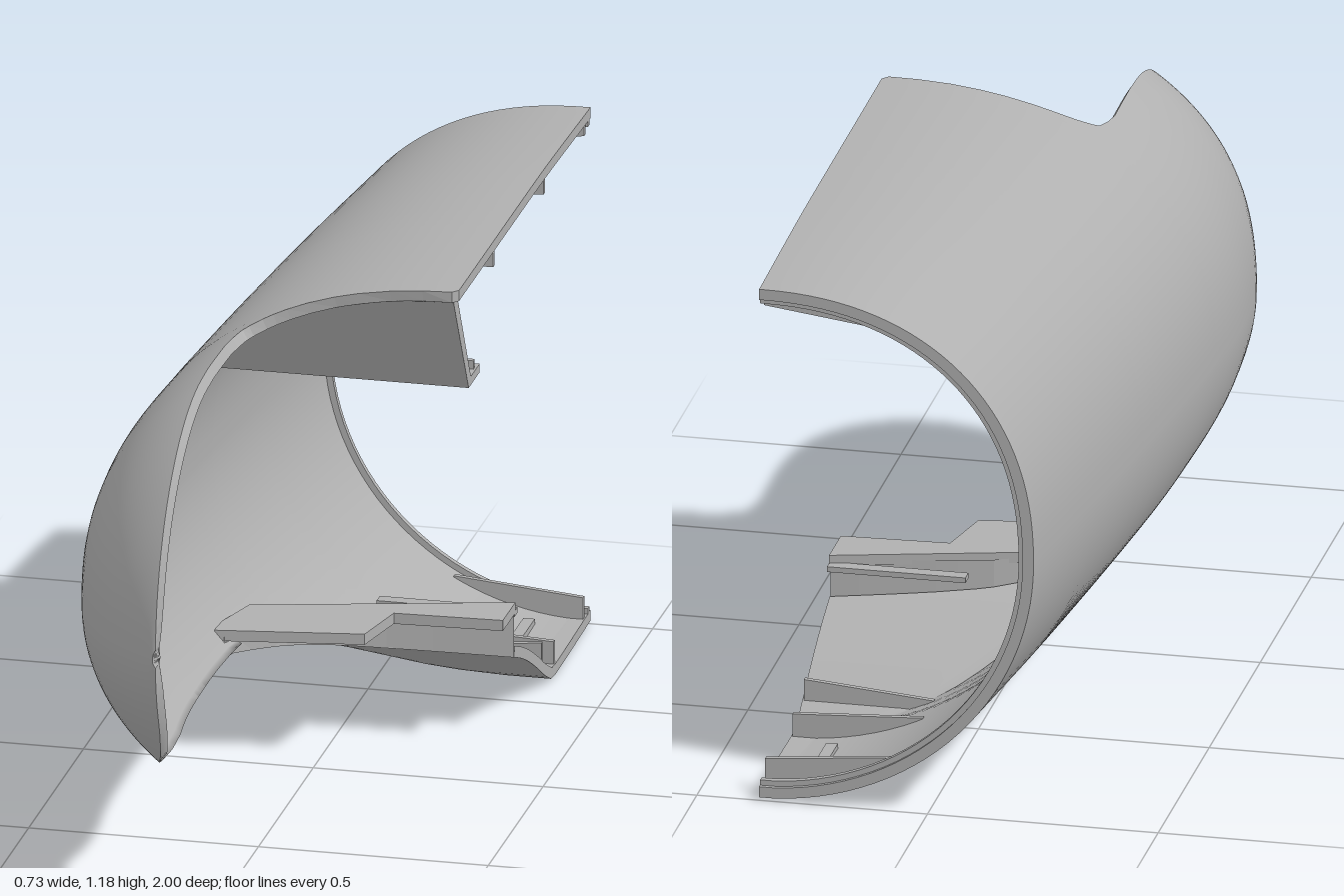
import * as THREE from 'three';

const CX = 0.365, YC = 0.595, NT = 2.25, NB = 2; // open mid plane, axis height, section exponents
const WALL = 0.024;

// Monotone smooth interpolation through [z, value] pairs
function curve(pts) {
  const d = pts.slice(1).map((p, i) => (p[1] - pts[i][1]) / (p[0] - pts[i][0]));
  const m = pts.map((p, i) => {
    if (i === 0) return d[0];
    if (i === pts.length - 1) return d[i - 1];
    return d[i - 1] * d[i] > 0 ? 2 * d[i - 1] * d[i] / (d[i - 1] + d[i]) : 0;
  });
  return (z) => {
    if (z <= pts[0][0]) return pts[0][1];
    if (z >= pts[pts.length - 1][0]) return pts[pts.length - 1][1];
    let i = 0;
    while (z > pts[i + 1][0]) i++;
    const h = pts[i + 1][0] - pts[i][0], t = (z - pts[i][0]) / h, u = 1 - t;
    return pts[i][1] * (1 + 2 * t) * u * u + m[i] * h * t * u * u
      + pts[i + 1][1] * t * t * (3 - 2 * t) - m[i + 1] * h * t * t * u;
  };
}

const sideX = curve([[-1, -0.23], [-0.4, -0.302], [0, -0.342], [0.2, -0.358], [0.42, -0.368], [0.6, -0.357],
  [0.7, -0.337], [0.8, -0.3], [0.9, -0.235], [0.96, -0.17], [1, -0.111]]);
const topHalf = curve([[-1, 0.576], [-0.5, 0.588], [0.2, 0.59], [0.3, 0.592], [0.55, 0.601]]);
const lowHalf = curve([[-1, 0.582], [-0.6, 0.591], [0, 0.588], [0.55, 0.54]]);
const floorY = curve([[-1, 0.014], [-0.66, 0.007], [-0.6, 0.03], [-0.5, 0.088], [-0.4, 0.14], [-0.3, 0.18],
  [-0.2, 0.21], [-0.1, 0.228], [0, 0.235], [0.55, 0.235]]);
const topEdge = curve([[0.214, CX], [0.22, 0.22], [0.227, 0.1], [0.24, 0], [0.255, -0.05], [0.285, -0.09], [0.35, -0.105]]);
const lowEdge = curve([[-0.3, CX], [-0.28, 0.25], [-0.25, 0.1], [-0.22, 0], [-0.15, -0.1], [-0.1, -0.14], [0.02, -0.25]]);
const noseLowEdge = curve([[0.55, -0.18], [0.72, -0.162], [0.85, -0.13], [0.95, -0.109], [1, -0.105]]);

// Section parameters of the hull at z
function hull(z) {
  const a = CX - sideX(z);
  if (z <= 0.55) return { a, bT: topHalf(z), bB: lowHalf(z), s: floorY(z), eT: topEdge(z), eB: lowEdge(z) };
  const k = Math.sqrt(1 - ((z - 0.55) / 0.45) ** 2), eB = noseLowEdge(z);
  const half = (h, e, n) => h / (1 - ((CX - e) / a) ** n) ** (1 / n);
  return { a, bT: half(0.485 * k, -0.105, NT), bB: half(0.36 * k, eB, NB), s: YC - 0.36 * k, eT: -0.105, eB };
}

// Points of one section from upper edge, round the side, to lower edge
function section(z, inset = 0) {
  const q = hull(z), a = q.a - inset, bT = q.bT - inset, bB = q.bB - inset, s = q.s + inset, pts = [];
  const start = Math.acos(Math.min(1, Math.max(0, (CX - q.eT) / a) ** (NT / 2)));
  for (let j = 0; j <= 32; j++) {
    const t = start * (1 - j / 32);
    pts.push(new THREE.Vector3(CX - a * Math.max(0, Math.cos(t)) ** (2 / NT), YC + bT * Math.sin(t) ** (2 / NT), z));
  }
  const end = Math.asin(Math.min(1, (YC - s) / bB));
  for (let j = 1; j <= 28; j++) {
    const t = end * j / 28;
    pts.push(new THREE.Vector3(CX - a * Math.cos(t), YC - bB * Math.sin(t), z));
  }
  const last = pts[pts.length - 1], e = Math.max(q.eB, last.x);
  for (let j = 1; j <= 8; j++) pts.push(new THREE.Vector3(last.x + (e - last.x) * j / 8, last.y, z));
  return pts;
}

// Surface through rows of points
function sheet(rows, flat = false, flip = false) {
  const w = rows[0].length, idx = [];
  for (let i = 0; i < rows.length - 1; i++) for (let j = 0; j < w - 1; j++) {
    const a = i * w + j, b = a + 1, c = a + w, d = c + 1;
    if (flip) idx.push(a, c, b, b, c, d); else idx.push(a, b, c, b, d, c);
  }
  let g = new THREE.BufferGeometry().setFromPoints(rows.flat());
  g.setIndex(idx);
  if (flat) g = g.toNonIndexed();
  g.computeVertexNormals();
  return g;
}

const insideX = (y, z, inset) => {
  const q = hull(z), up = y > YC, n = up ? NT : NB, b = (up ? q.bT : q.bB) - inset;
  return CX - (q.a - inset) * Math.max(0, 1 - (Math.abs(y - YC) / b) ** n) ** (1 / n);
};
const insideTop = (x, z, inset) => {
  const q = hull(z);
  return YC + (q.bT - inset) * (1 - ((CX - x) / (q.a - inset)) ** NT) ** (1 / NT);
};
const insideLow = (x, z, inset) => {
  const q = hull(z), b = q.bB - inset;
  return Math.max(q.s + inset, YC - b * Math.sqrt(1 - ((CX - x) / (q.a - inset)) ** 2));
};

export function createModel() {
  const model = new THREE.Group();
  const grey = new THREE.MeshStandardMaterial({ color: 0xb0b0b0, side: THREE.DoubleSide });
  grey.name = 'grey plastic';
  const add = (name, geometry) => {
    const m = new THREE.Mesh(geometry, grey);
    m.name = name;
    model.add(m);
    return m;
  };

  // Shell: outer skin, offset inner skin and the rim between them
  const zs = [0.2145, 0.217, 0.22, 0.2235, 0.227, 0.233, 0.247, 0.255, 0.27, 0.285, -0.3, -0.295, -0.29, -0.27, -0.26, -0.23, -0.21];
  for (let i = 0; i <= 38; i++) zs.push(-1 + i * 0.04);
  for (let i = 1; i <= 24; i++) zs.push(0.55 + 0.4495 * Math.sin(i / 24 * Math.PI / 2));
  zs.sort((a, b) => a - b);
  const outer = zs.map((z) => section(z)), w = outer[0].length, n = outer.length;
  const skin = sheet(outer), normals = skin.attributes.normal;
  const inner = outer.map((row, i) => row.map((p, j) => {
    const v = p.clone().addScaledVector(new THREE.Vector3().fromBufferAttribute(normals, i * w + j), -WALL);
    v.x = Math.min(v.x, CX);
    if (i === 0) v.z = -1;
    return v;
  }));
  add('outerSkin', skin);
  add('innerSkin', sheet(inner, false, true));
  const loop = (g) => [...g.map((r) => r[0]), ...g[n - 1], ...g.map((r) => r[w - 1]).reverse(), ...[...g[0]].reverse()];
  add('shellRim', sheet([loop(outer), loop(inner)], true));

  // Raised lip just inside the rear opening
  const a = section(-0.99, 0.018), b = section(-0.99, 0.036);
  const lip = new THREE.Shape([...a, ...b.reverse()].map((p) => new THREE.Vector2(p.x, p.y)));
  add('rearLip', new THREE.ExtrudeGeometry(lip, { depth: 0.014, bevelEnabled: false })).position.z = -0.99;

  // Sloping bulkhead with a foot plate behind the upper opening
  const profile = [];
  const line = (y0, z0, y1, z1, k) => {
    for (let i = 0; i < k; i++) profile.push([y0 + (y1 - y0) * i / k, z0 + (z1 - z0) * i / k]);
  };
  line(1.168, 0.213, 0.918, 0.07, 12);
  line(0.918, 0.07, 0.918, -0.03, 2);
  line(0.918, -0.03, 0.937, -0.03, 1);
  line(0.937, -0.03, 0.937, 0.05, 2);
  line(0.937, 0.05, 1.168, 0.178, 12);
  profile.push([1.168, 0.178], profile[0]);
  const bulkRows = profile.map(([y, z]) => {
    const x0 = insideX(y, z, 0.012), row = [];
    for (let j = 0; j <= 6; j++) row.push(new THREE.Vector3(x0 + (0.355 - x0) * j / 6, y, z));
    return row;
  });
  add('bulkhead', sheet(bulkRows, true));
  const cap = new THREE.Shape(profile.map(([y, z]) => new THREE.Vector2(-z, y)));
  const capMesh = add('bulkheadEnd', new THREE.ShapeGeometry(cap));
  capMesh.rotation.y = Math.PI / 2;
  capMesh.position.x = 0.355;
  add('footRidge', new THREE.BoxGeometry(0.4, 0.022, 0.012)).position.set(0.15, 0.945, 0);

  // Ledge plate over the lower opening
  const plan = [[-0.215, 0], [-0.215, -0.05], [-0.18, -0.17], [CX, -0.315], [CX, -0.2], [0.13, -0.19], [0.1, -0.05]];
  const plate = new THREE.ExtrudeGeometry(new THREE.Shape(plan.map(([x, z]) => new THREE.Vector2(x, -z))),
    { depth: 0.024, bevelEnabled: false }).rotateX(-Math.PI / 2);
  add('ledgePlate', plate).position.y = 0.275;

  // Upright wall joining the lower skin edge to the ledge
  const wallZ = [-0.3, -0.295, -0.29, -0.28, -0.27, -0.26, -0.25, -0.23, -0.21, -0.18, -0.15, -0.1, -0.05, 0];
  const foot = wallZ.map((z) => section(z)[w - 1]);
  add('ledgeWall', sheet([foot, foot.map((p) => new THREE.Vector3(p.x, 0.285, p.z))], true));
  add('ledgeLip', new THREE.BoxGeometry(0.3, 0.012, 0.03)).position.set(0.215, 0.275, -0.32);

  // Crescent ribs under the roof and on the floor
  const rib = (name, z, x0, y0, x1, y1, hullY) => {
    const pts = [];
    for (let i = 0; i <= 10; i++) {
      const x = x0 + (x1 - x0) * i / 10;
      pts.push(new THREE.Vector2(x, hullY(x, z, 0.015)));
    }
    pts.push(new THREE.Vector2(x1, y1), new THREE.Vector2(x0, y0));
    const g = new THREE.ExtrudeGeometry(new THREE.Shape(pts), { depth: 0.012, bevelEnabled: false });
    add(name, g).position.z = z - 0.006;
  };
  for (const z of [-0.13, -0.59, -0.96]) rib('roofRib', z, 0.06, insideTop(0.06, z, 0.026), 0.362, 1.122, insideTop);
  for (const [z, y] of [[-0.57, 0.118], [-0.68, 0.082], [-0.95, 0.085]]) {
    rib('floorRib', z, 0.08, insideLow(0.08, z, 0.026), 0.362, y, insideLow);
  }

  // Small raised pads between the ribs
  for (const z of [-0.3, -0.8]) add('roofPad', new THREE.BoxGeometry(0.025, 0.02, 0.1)).position.set(0.28, insideTop(0.28, z, 0.026), z);
  add('floorPad', new THREE.BoxGeometry(0.025, 0.02, 0.12)).position.set(0.26, insideLow(0.26, -0.82, 0.026), -0.82);
  return model;
}
